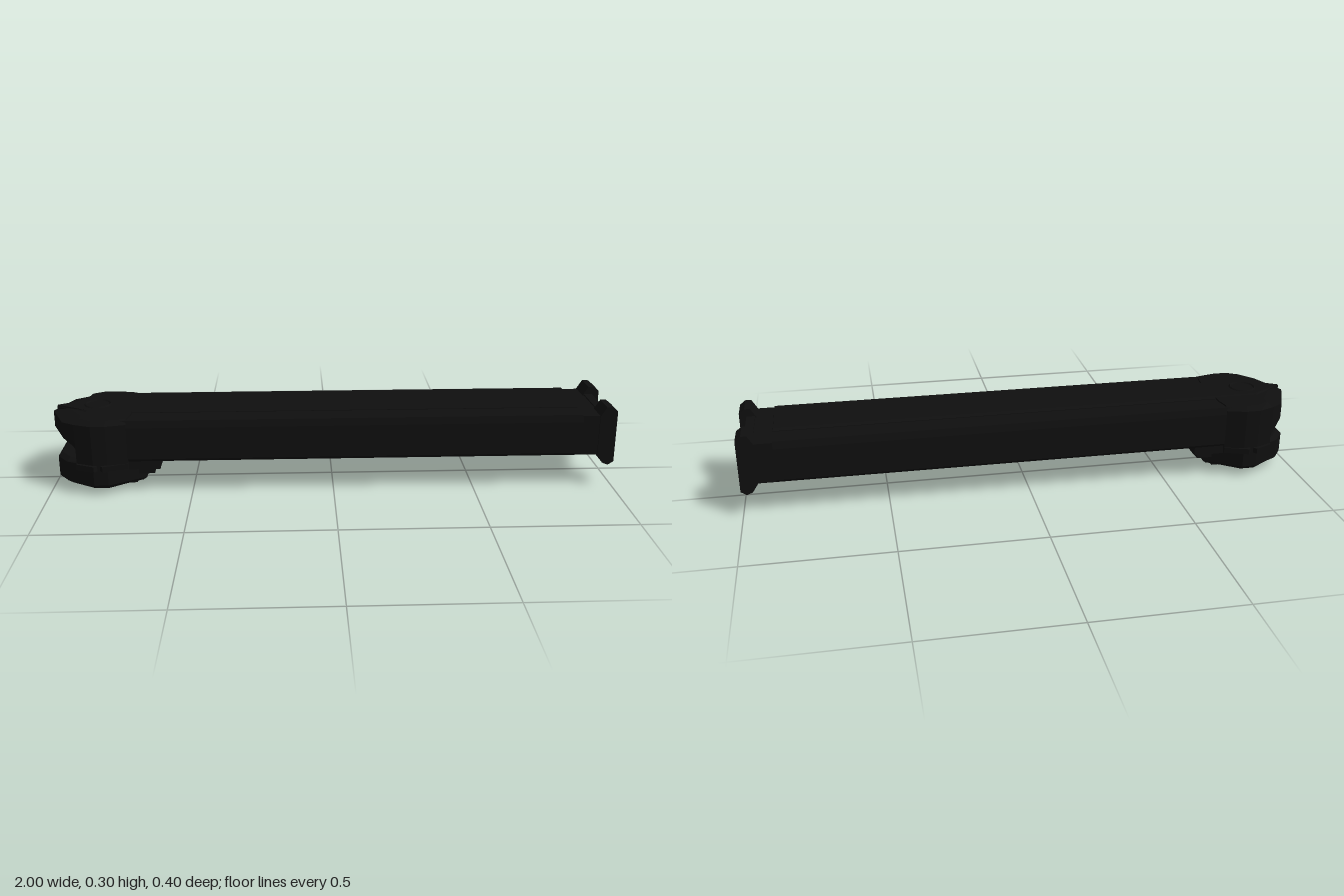
import * as THREE from 'three';

const V = (p) => new THREE.Vector2(p[0], p[1]);
const mirror = (half) => [...half, ...half.filter((p) => p[1] > 0).reverse().map(([x, z]) => [x, -z])];

// Stacks [y, outline] levels into a faceted solid; outlines are (x, z) with equal point counts
function loft(levels) {
  const pos = [];
  const flip = THREE.ShapeUtils.area(levels[0][1].map(V)) > 0;
  const rings = levels.map(([y, o]) => (flip ? [...o].reverse() : o).map(([x, z]) => [x, y, z]));
  const n = rings[0].length;
  for (let k = 0; k < rings.length - 1; k++) {
    for (let i = 0; i < n; i++) {
      const j = (i + 1) % n, a = rings[k][i], b = rings[k][j], c = rings[k + 1][j], d = rings[k + 1][i];
      pos.push(...a, ...b, ...c, ...a, ...c, ...d);
    }
  }
  const cap = (ring, up) => {
    const flat = ring.map((p) => new THREE.Vector2(p[0], p[2]));
    for (const t of THREE.ShapeUtils.triangulateShape(flat, [])) {
      const facesUp = THREE.ShapeUtils.area(t.map((i) => flat[i])) < 0;
      (facesUp === up ? t : [...t].reverse()).forEach((i) => pos.push(...ring[i]));
    }
  };
  cap(rings[0], false);
  cap(rings[rings.length - 1], true);
  const g = new THREE.BufferGeometry();
  g.setAttribute('position', new THREE.Float32BufferAttribute(pos, 3));
  g.computeVertexNormals();
  return g;
}

// Extrudes a (z, y) section along x
function alongX(section, x0, x1) {
  const g = new THREE.ExtrudeGeometry(new THREE.Shape(section.map(V)), { depth: x1 - x0, bevelEnabled: false });
  return g.rotateY(Math.PI / 2).scale(1, 1, -1).scale(1, 1, -1).translate(x0, 0, 0);
}

export function createModel() {
  const group = new THREE.Group();
  const black = new THREE.MeshStandardMaterial({ color: 0x0f0f0f, flatShading: true });
  black.name = 'black polymer';
  const brass = new THREE.MeshStandardMaterial({ color: 0xb08010, flatShading: true });
  brass.name = 'brass';

  const add = (name, geo, mat = black) => {
    const m = new THREE.Mesh(geo, mat);
    m.name = name;
    group.add(m);
    return m;
  };
  const box = (name, x0, x1, y0, y1, z0, z1, mat) =>
    add(name, new THREE.BoxGeometry(x1 - x0, y1 - y0, z1 - z0)
      .translate((x0 + x1) / 2, (y0 + y1) / 2, (z0 + z1) / 2), mat);

  // Long body with a chamfered top, then the narrower neck
  add('body', alongX(mirror([[0, 0], [0, 0]]).length && [
    [-0.16, 0.12], [0.16, 0.12], [0.168, 0.13], [0.168, 0.245], [0.16, 0.27],
    [-0.16, 0.27], [-0.168, 0.245], [-0.168, 0.13]], -0.8, 0.88));
  box('neck', 0.87, 0.955, 0.12, 0.265, -0.16, 0.16);
  box('neckLip', 0.87, 0.9, 0.106, 0.125, -0.075, 0.075);

  // Raised band along the top, pointed over the head
  const band = (w) => mirror([[-0.97 - w / 5, 0], [-0.87, w], [0.865 + w / 5, w]]);
  add('topBand', loft([[0.26, band(0.076)], [0.272, band(0.076)], [0.28, band(0.066)]]));
  add('pivotRing', new THREE.TorusGeometry(0.045, 0.004, 4, 24)
    .rotateX(Math.PI / 2).translate(-0.84, 0.28, 0));

  // Head: pointed nose above, cut back underneath
  const head = (nose, s = 0) => mirror([[nose, 0], [Math.max(nose + 0.055, -0.945) + s, 0.13 - s],
    [-0.9 + s, 0.16 - s], [-0.84, 0.185 - s], [-0.79, 0.185 - s], [-0.72, 0.168 - s], [-0.71, 0.1]]);
  add('head', loft([[0.1, head(-0.945)], [0.145, head(-0.945)], [0.2, head(-1)],
    [0.258, head(-1)], [0.275, head(-0.955, 0.018)]]));

  // Feed drum: solid upper layer and two lower halves around the cartridge channel
  const drum = (s) => [[-0.98 + s, 0.075 - s], [-0.94 + s, 0.13 - s], [-0.84, 0.185 - s],
    [-0.79, 0.185 - s], [-0.7 - s, 0.13 - s], [-0.665 - s, 0.11 - s]];
  add('drum', loft([[0.055, mirror(drum(0))], [0.112, mirror(drum(0))], [0.125, mirror(drum(0.012))]]));
  const lower = (s) => [[-0.98 + s, 0.03], ...drum(s), [-0.665 - s, 0.03]];
  for (const side of [1, -1]) {
    const name = side > 0 ? 'front' : 'back';
    add(name + 'DrumHalf', loft([[0.025, lower(0.015)], [0.04, lower(0)], [0.08, lower(0)]])).scale.z = side;
    box(name + 'FeedLip', -0.92, -0.7, 0.02, 0.04, side > 0 ? 0.065 : -0.11, side > 0 ? 0.11 : -0.065);
    // Notched rim tab
    const tab = [[-0.9, 0.12], [-0.9, 0.17], [-0.835, 0.2], [-0.825, 0.187], [-0.815, 0.187],
      [-0.805, 0.2], [-0.72, 0.17], [-0.72, 0.12]];
    add(name + 'RimTab', loft([[0.095, tab], [0.115, tab]])).scale.z = side;
    // End pillar
    const pillar = [[0.94, 0.12], [0.94, 0.265], [0.96, 0.298], [0.98, 0.298], [1, 0.282],
      [1, 0.095], [0.98, 0.082], [0.96, 0.09]];
    add(name + 'EndPillar', new THREE.ExtrudeGeometry(new THREE.Shape(pillar.map(V)),
      { depth: 0.088, bevelEnabled: false }).translate(0, 0, side > 0 ? 0.077 : -0.165));
  }
  box('endPlate', 0.945, 0.975, 0.105, 0.27, -0.1, 0.1);

  // Steps from the drum up to the body
  box('lowerStep', -0.72, -0.635, 0.06, 0.125, -0.125, 0.125);
  box('middleStep', -0.72, -0.61, 0.09, 0.125, -0.16, 0.16);
  box('upperStep', -0.65, -0.52, 0.107, 0.125, -0.075, 0.075);

  // Cartridge lying in the channel, tip towards the body
  const profile = [[0, -0.975], [0.026, -0.975], [0.028, -0.965], [0.024, -0.958], [0.029, -0.95],
    [0.028, -0.81], [0.02, -0.78], [0.02, -0.73], [0.012, -0.69], [0, -0.665]];
  add('cartridge', new THREE.LatheGeometry(profile.map(V), 8)
    .rotateZ(-Math.PI / 2).translate(0, 0.031, 0), brass);
  box('innerCartridgeTip', -0.575, -0.55, 0.103, 0.11, -0.012, 0.012, brass);
  return group;
}
